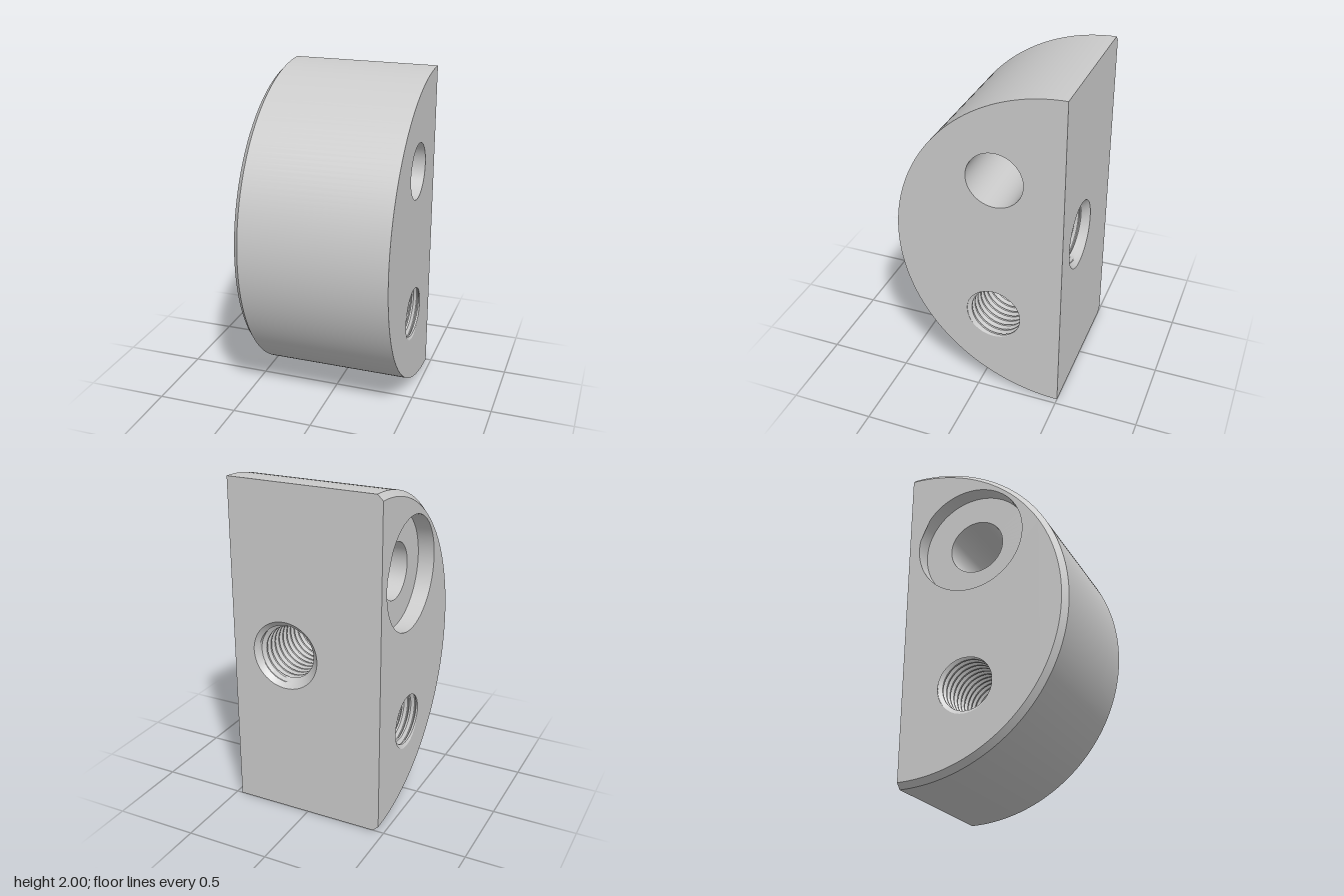
import * as THREE from 'three';
import { toCreasedNormals } from 'three/addons/utils/BufferGeometryUtils.js';

const X = 0.465, R = 1, BEVEL = 0.032, BACK = -0.5, MID = 1;
const HOLE_Z = -0.1, UPPER_Y = 1.46, LOWER_Y = 0.545;
const BORE_R = 0.168, SINK_R = 0.335, SINK_DEPTH = 0.1;
const MINOR = 0.155, MAJOR = 0.178, PITCH = 0.045, SEG = 64;
const TAP_X = 0.13, TAP_DEPTH = 0.6, CONE_R = 0.205;
const TAU = Math.PI * 2;

// Thread radius at axial distance s and angle phi
function threadRadius(s, phi) {
  const t = s / PITCH - phi / TAU;
  const f = t - Math.floor(t);
  if (f < 0.25) return MINOR;
  const k = f < 0.56 ? (f - 0.25) / 0.31 : f < 0.69 ? 1 : (1 - f) / 0.31;
  return MINOR + (MAJOR - MINOR) * k;
}

// Helical thread wall along +y, facing its axis; coneR widens the mouth at 45 degrees
function threadGeometry(length, coneR = 0) {
  const pts = [];
  for (let k = Math.ceil(length / PITCH) + 1; k >= -2; k--)
    for (const f of [0.69, 0.56, 0.25, 0]) pts.push(new THREE.Vector2(1, (k + f) * PITCH));
  const geo = new THREE.LatheGeometry(pts, SEG);
  const pos = geo.attributes.position;
  for (let i = 0; i < pos.count; i++) {
    const phi = Math.floor(i / pts.length) / SEG * TAU;
    const s = THREE.MathUtils.clamp(pos.getY(i) + phi / TAU * PITCH, 0, length);
    const r = Math.max(threadRadius(s, phi), coneR - s);
    pos.setXYZ(i, r * Math.sin(phi), s, r * Math.cos(phi));
  }
  return toCreasedNormals(geo, 0.5);
}

// Turned surface from [radius, height] pairs
function turned(profile, segments = SEG, start = 0, sweep = TAU) {
  const pts = profile.map(([r, y]) => new THREE.Vector2(r, y));
  return toCreasedNormals(new THREE.LatheGeometry(pts, segments, start, sweep), 0.5);
}

// Closed outline of SEG points; radius may vary with angle
function ring(cx, cy, radiusAt, sign = 1) {
  const pts = [];
  for (let i = 0; i < SEG; i++) {
    const a = i / SEG * TAU, r = radiusAt(a);
    pts.push(new THREE.Vector2(sign * (cx + r * Math.cos(a)), cy - r * Math.sin(a)));
  }
  return new THREE.Path(pts);
}

// Half-disc side face; dir is +1 for the +x side and -1 for the -x side
function sideFace(dir, radius, upperRadius, threadPos) {
  const pts = [];
  for (let i = 0; i <= 96; i++) {
    const a = (i / 96 - 0.5) * Math.PI;
    pts.push(new THREE.Vector2(-dir * (BACK + radius * Math.cos(a)), MID + radius * Math.sin(a)));
  }
  const shape = new THREE.Shape(pts);
  shape.holes.push(ring(HOLE_Z, UPPER_Y, () => upperRadius, -dir));
  shape.holes.push(ring(HOLE_Z, LOWER_Y, a => threadRadius(threadPos, a), -dir));
  return new THREE.ShapeGeometry(shape).rotateY(dir * Math.PI / 2).translate(dir * X, 0, 0);
}

export function createModel() {
  const group = new THREE.Group();
  const material = new THREE.MeshStandardMaterial({ color: 0xcccccc });
  const add = (name, geometry) => {
    const mesh = new THREE.Mesh(geometry, material);
    mesh.name = name;
    group.add(mesh);
  };
  const alongX = (geo, x, y, z) => geo.rotateZ(-Math.PI / 2).translate(x, y, z);
  const alongZ = (geo, x, y, z) => geo.rotateX(Math.PI / 2).translate(x, y, z);

  // Curved front with a bevel on the -x edge
  const rim = turned([[R - BEVEL, -X], [R, -X + BEVEL], [R, X]], 96, -Math.PI / 2, Math.PI);
  add('curvedFront', alongX(rim, 0, MID, BACK));

  // Flat sides
  add('leftSide', sideFace(1, R, BORE_R, 2 * X));
  add('rightSide', sideFace(-1, R - BEVEL, SINK_R, 0));

  // Flat back with bevelled corners and the mouth of the tapped hole
  const back = new THREE.Shape([
    [-X, 2 - BEVEL], [-X + BEVEL, 2], [X, 2], [X, 0], [-X + BEVEL, 0], [-X, BEVEL],
  ].map(([x, y]) => new THREE.Vector2(-x, y)));
  back.holes.push(ring(-TAP_X, MID, () => CONE_R));
  add('flatBack', new THREE.ShapeGeometry(back).rotateY(Math.PI).translate(0, 0, BACK));

  // Upper through hole with counterbore
  const floor = -X + SINK_DEPTH;
  const bore = turned([[BORE_R, X], [BORE_R, floor], [SINK_R, floor], [SINK_R, -X]]);
  add('counterboredHole', alongX(bore, 0, UPPER_Y, HOLE_Z));

  // Lower threaded through hole
  add('threadedHole', alongX(threadGeometry(2 * X), -X, LOWER_Y, HOLE_Z));

  // Countersunk blind threaded hole in the back, with a drill-point end
  add('backThreadedHole', alongZ(threadGeometry(TAP_DEPTH, CONE_R), TAP_X, MID, BACK));
  const tip = turned([[0, TAP_DEPTH + 0.09], [MAJOR, TAP_DEPTH]]);
  add('backHoleEnd', alongZ(tip, TAP_X, MID, BACK));

  return group;
}
